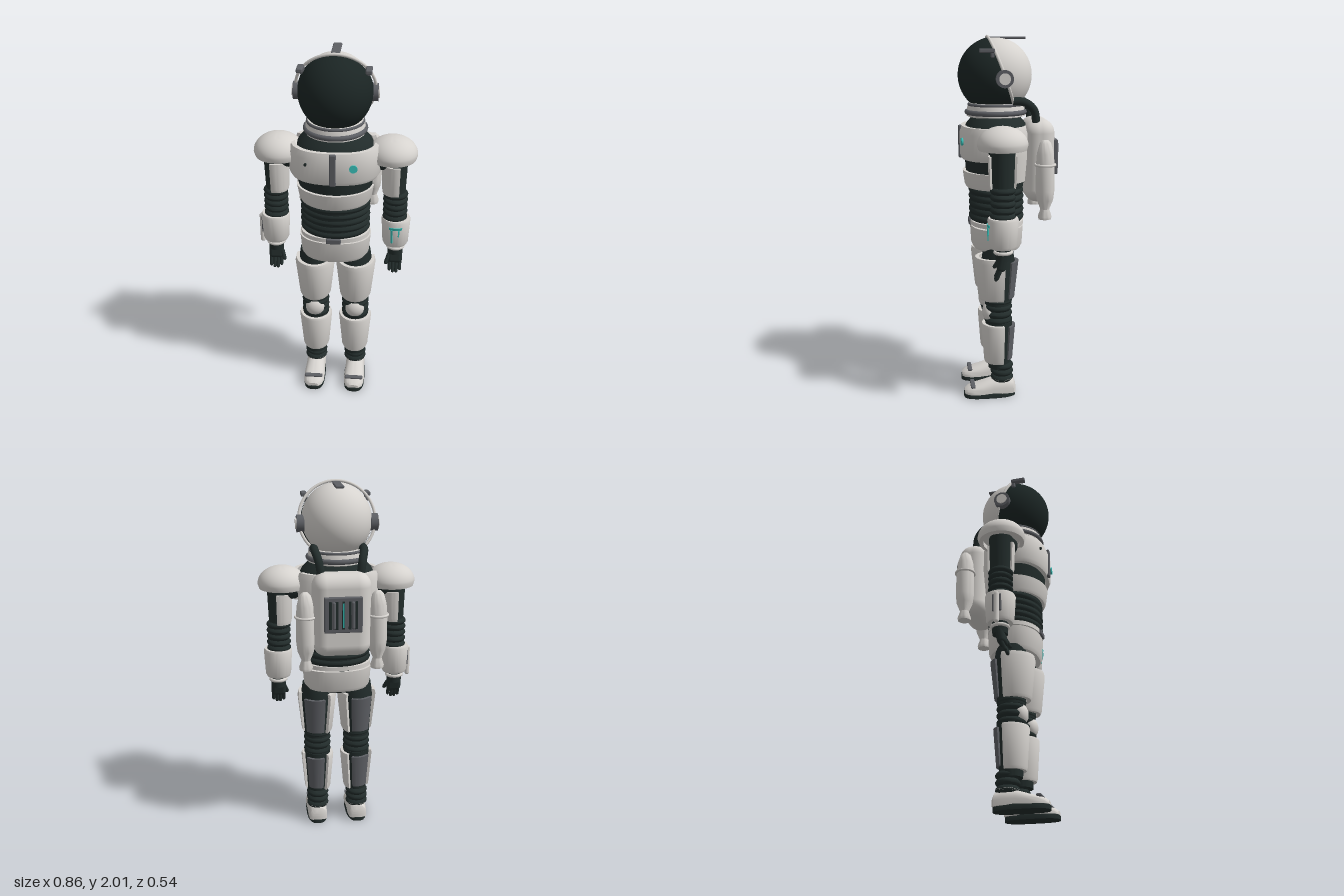
import * as THREE from 'three';
import { toCreasedNormals } from 'three/addons/utils/BufferGeometryUtils.js';
import { RoundedBoxGeometry } from 'three/addons/geometries/RoundedBoxGeometry.js';

const mat = (name, color) => new THREE.MeshStandardMaterial({ name, color });
const V = (x, y, z) => new THREE.Vector3(x, y, z);
const Z = 0.067; // depth of the body axis

// Joins closed loops of points into a solid; open sweeps get strip caps
function sweep(loops, closed = false) {
  const L = loops[0].length, N = loops.length, pos = [], idx = [];
  loops.forEach((l) => l.forEach((p) => pos.push(p.x, p.y, p.z)));
  for (let j = 0; j < (closed ? N : N - 1); j++) {
    for (let i = 0; i < L; i++) {
      const a = j * L + i, b = j * L + (i + 1) % L, k = ((j + 1) % N) * L;
      const c = k + (i + 1) % L, d = k + i;
      idx.push(a, b, c, a, c, d);
    }
  }
  if (!closed) for (let i = 0; i < L / 2 - 1; i++) {
    const m = L - 1 - i, e = (N - 1) * L;
    idx.push(i, m, m - 1, i, m - 1, i + 1);
    idx.push(e + i, e + m - 1, e + m, e + i, e + i + 1, e + m - 1);
  }
  // Make the faces point outwards
  const P = (i) => V(pos[i * 3], pos[i * 3 + 1], pos[i * 3 + 2]);
  let vol = 0;
  for (let i = 0; i < idx.length; i += 3) vol += P(idx[i]).dot(P(idx[i + 1]).cross(P(idx[i + 2])));
  if (vol < 0) idx.reverse();
  const g = new THREE.BufferGeometry();
  g.setAttribute('position', new THREE.Float32BufferAttribute(pos, 3));
  g.setIndex(idx);
  return toCreasedNormals(g, 0.7);
}

// Curved armour plate: profile rows are [y, rx, rz]; angles in degrees from the front towards +x
function shell(profile, a0, a1, t = 0.02, { x = 0, z = Z, n = 2, side = 1 } = {}) {
  const full = a1 - a0 >= 360, seg = Math.max(4, Math.ceil((a1 - a0) / 7)), loops = [];
  const pw = (v) => Math.sign(v) * Math.abs(v) ** (2 / n);
  for (let j = 0; j < (full ? seg : seg + 1); j++) {
    const a = THREE.MathUtils.degToRad(a0 + (a1 - a0) * j / seg);
    const at = (o) => ([y, rx, rz]) => V(side * (x + (rx - o) * pw(Math.sin(a))), y, z + (rz - o) * pw(Math.cos(a)));
    loops.push([...profile.map(at(0)), ...[...profile].reverse().map(at(t))]);
  }
  return sweep(loops, full);
}

const lathe = (pts, seg = 36) =>
  toCreasedNormals(new THREE.LatheGeometry(pts.map((p) => new THREE.Vector2(...p)), seg), 0.7);

// Ribbed bellows, closed at both ends
function bellows(y0, y1, r, ribs, bump = 0.012) {
  const pts = [[0, y0]];
  for (let i = 0; i <= ribs * 8; i++) {
    pts.push([r - bump + bump * Math.abs(Math.sin(i * Math.PI / 8)), y0 + (y1 - y0) * i / (ribs * 8)]);
  }
  return lathe([...pts, [0, y1]]);
}

export function createModel() {
  const root = new THREE.Group();
  root.name = 'spaceSuit';
  const white = mat('shellWhite', 0xd6d3cf), dark = mat('suitDark', 0x222c2b);
  const visor = mat('visorDark', 0x1b2524), grey = mat('trimGrey', 0x5d5f64), teal = mat('glowTeal', 0x38c2ba);
  const add = (name, geo, m, x = 0, y = 0, z = 0) => {
    const mesh = new THREE.Mesh(geo, m);
    mesh.name = name;
    mesh.position.set(x, y, z);
    root.add(mesh);
    return mesh;
  };
  const ring = (name, m, r, tube, x, y, z) =>
    add(name, new THREE.TorusGeometry(r, tube, 10, 40).rotateX(Math.PI / 2), m, x, y, z);
  const box = (w, h, d, r = 0.006) => new RoundedBoxGeometry(w, h, d, 2, r);

  // Helmet, tilted visor and its rim
  const tilt = 0.35;
  add('helmet', new THREE.SphereGeometry(0.197, 48, 32).scale(0.96, 1, 1), white, 0, 1.8, 0.07);
  add('visor', new THREE.SphereGeometry(0.2, 48, 32, 0, Math.PI * 2, 0, 1.72)
    .rotateX(Math.PI / 2 + tilt).scale(0.96, 1, 1), visor, 0, 1.8, 0.07);
  add('visorRim', new THREE.TorusGeometry(0.204, 0.008, 8, 64).rotateX(tilt), white, 0, 1.81, 0.042);
  add('crestBar', box(0.046, 0.014, 0.195), grey, 0, 1.993, 0.005);

  // Collar and neck
  add('collar', lathe([[0.13, 1.575], [0.158, 1.585], [0.155, 1.63], [0.145, 1.655], [0.12, 1.655]]), white, 0, 0, Z);
  ring('collarRing', grey, 0.155, 0.014, 0, 1.605, Z);
  ring('neckRing', grey, 0.144, 0.009, 0, 1.645, Z);

  // Dark suit under the torso plates
  add('torsoSuit', lathe([[0, 1.0], [0.172, 1.0], [0.175, 1.19], [0.195, 1.26], [0.205, 1.38], [0.212, 1.5],
    [0.19, 1.545], [0.15, 1.585], [0, 1.585]]).scale(1, 1, 0.84), dark, 0, 0, Z);
  add('waistBellows', bellows(1.015, 1.2, 0.19, 5).scale(1, 1, 0.8), dark, 0, 0, Z);
  add('hipSuit', lathe([[0, 0.81], [0.09, 0.83], [0.165, 0.9], [0.175, 1.01], [0, 1.01]]).scale(1, 1, 0.78), dark, 0, 0, Z);

  // Torso plates
  add('chestPlate', shell([[1.36, 0.23, 0.19], [1.38, 0.242, 0.198], [1.5, 0.245, 0.2], [1.535, 0.232, 0.188]],
    -84, 84, 0.022, { n: 2.4 }), white);
  add('backPlate', shell([[1.24, 0.21, 0.16], [1.38, 0.232, 0.172], [1.5, 0.235, 0.172], [1.535, 0.222, 0.16]],
    112, 248, 0.022, { n: 2.4 }), white);
  add('bellyPlate', shell([[1.2, 0.187, 0.165], [1.215, 0.195, 0.173], [1.29, 0.208, 0.183]], -85, 85, 0.02), white);
  add('chestStripe', box(0.034, 0.175, 0.02), grey, 0, 1.447, 0.262);
  add('chestLight', new THREE.CylinderGeometry(0.021, 0.021, 0.009, 24).rotateX(Math.PI / 2).rotateY(0.1), teal, 0.105, 1.458, 0.259);
  add('chestPort', new THREE.CylinderGeometry(0.008, 0.008, 0.009, 12).rotateX(Math.PI / 2).rotateY(-0.2), dark, -0.14, 1.47, 0.25);

  // Hip shell and belt
  add('hipShell', shell([[0.86, 0.175, 0.13], [0.88, 0.187, 0.14], [0.985, 0.196, 0.146]], 0, 360, 0.025, { n: 2.3 }), white);
  add('belt', shell([[0.992, 0.19, 0.148], [1.016, 0.19, 0.148]], 0, 360, 0.025, { n: 2.3 }), white);
  add('buckle', box(0.08, 0.03, 0.02), grey, 0, 1.002, 0.213);

  // Backpack with vent panel
  add('backpack', new RoundedBoxGeometry(0.31, 0.45, 0.165, 6, 0.072), white, 0, 1.345, -0.158);
  add('ventPanel', box(0.2, 0.19, 0.026), grey, 0, 1.365, -0.247);
  for (let i = -2; i <= 2; i++) {
    add('ventSlot', box(0.014, 0.15, 0.006, 0.002), dark, i * 0.034 + 0.001, 1.365, -0.26);
    if (i % 2) add('ventBar', new THREE.CapsuleGeometry(0.009, 0.13, 4, 10), grey, i * 0.05, 1.365, -0.262);
  }
  add('ventLight', box(0.008, 0.13, 0.008, 0.002), teal, 0, 1.365, -0.262);

  for (const s of [1, -1]) {
    // Helmet ear pods, lamps and air hoses
    const disc = (r, h) => new THREE.CylinderGeometry(r, r, h, 28).rotateZ(Math.PI / 2);
    add('earPod', disc(0.046, 0.04), grey, s * 0.197, 1.79, 0.042);
    add('earCap', disc(0.03, 0.012), white, s * 0.217, 1.79, 0.042);
    add('lamp', box(0.032, 0.022, 0.08), grey, s * 0.17, 1.932, 0.13);
    add('lampMount', box(0.024, 0.04, 0.02), grey, s * 0.163, 1.915, 0.1);
    add('airHose', new THREE.TubeGeometry(new THREE.CatmullRomCurve3([V(s * 0.13, 1.67, -0.01), V(s * 0.13, 1.665, -0.07),
      V(s * 0.115, 1.62, -0.125), V(s * 0.1, 1.52, -0.14)]), 24, 0.022, 12), dark);

    // Gas bottles
    add('gasBottle', lathe([[0, 1.05], [0.034, 1.045], [0.037, 1.06], [0.024, 1.1], [0.044, 1.15], [0.05, 1.2],
      [0.05, 1.33], [0.045, 1.4], [0.03, 1.455], [0.015, 1.47], [0, 1.472]], 28), white, s * 0.192, 0, -0.175);
    ring('bottleRing', white, 0.052, 0.007, s * 0.192, 1.34, -0.175);
    add('bottleBracket', box(0.07, 0.04, 0.04), grey, s * 0.15, 1.25, -0.175);

    // Shoulder pad
    const dome = [[0, 1.47], [0.1, 1.46], [0.1, 1.435], [0.124, 1.44]];
    for (let i = 0; i <= 12; i++) {
      const a = i / 12 * Math.PI / 2;
      dome.push([0.132 * Math.cos(a), 1.465 + 0.097 * Math.sin(a)]);
    }
    add('shoulderPad', lathe(dome), white, s * 0.3, 0, 0.065);

    // Arm
    add('shoulderJoint', new THREE.SphereGeometry(0.075, 24, 16), dark, s * 0.25, 1.45, Z);
    add('upperArm', lathe([[0, 1.22], [0.058, 1.22], [0.066, 1.45], [0, 1.5]]), dark, s * 0.317, 0, Z);
    add('upperArmPlate', shell([[1.24, 0.063, 0.067], [1.26, 0.067, 0.072], [1.41, 0.073, 0.076]],
      -195, 22, 0.015, { x: 0.317, side: s }), white);
    add('elbowBellows', bellows(1.08, 1.25, 0.067, 5), dark, s * 0.324, 0, Z);
    add('forearmShell', shell([[0.93, 0.064, 0.066], [0.945, 0.071, 0.074], [1.08, 0.079, 0.082], [1.092, 0.073, 0.077]],
      0, 360, 0.025, { x: 0.331, side: s }), white);
    add('wrist', new THREE.CylinderGeometry(0.045, 0.04, 0.12, 24), dark, s * 0.333, 0.925, Z);
    ring('wristRing', white, 0.042, 0.01, s * 0.333, 0.908, Z);

    // Glove
    const hand = new THREE.Group();
    hand.name = 'glove';
    hand.position.set(s * 0.333, 0.9, 0.065);
    hand.rotation.x = -0.2;
    root.add(hand);
    const part = (name, geo, x, y, z, rx = 0, rz = 0) => {
      const m = add(name, geo, dark, x, y, z);
      m.rotation.set(rx, 0, rz);
      hand.add(m);
    };
    part('palm', new RoundedBoxGeometry(0.082, 0.1, 0.046, 4, 0.02), 0, -0.045, 0);
    for (let i = 0; i < 4; i++) {
      const len = [0.05, 0.06, 0.06, 0.045][i];
      part('finger', new THREE.CapsuleGeometry(0.0095, len, 4, 10), (i - 1.5) * 0.019, -0.085 - len / 2, 0.006, -0.2);
    }
    part('thumb', new THREE.CapsuleGeometry(0.011, 0.045, 4, 10), -s * 0.042, -0.07, 0.018, -0.3, -s * 0.3);

    // Thigh, with front shell and rear plate
    const leg = { x: 0.115, side: s };
    add('thigh', lathe([[0, 0.55], [0.074, 0.55], [0.092, 0.8], [0.08, 0.88], [0, 0.9]]), dark, s * 0.115, 0, 0.07);
    add('thighShell', shell([[0.58, 0.082, 0.1], [0.595, 0.089, 0.107], [0.8, 0.111, 0.128], [0.825, 0.106, 0.123]],
      -140, 105, 0.02, { ...leg, z: 0.073 }), white);
    add('thighRearPlate', shell([[0.59, 0.082, 0.09], [0.8, 0.1, 0.113]], 128, 205, 0.018, { ...leg, z: 0.07 }), grey);

    // Knee
    add('kneeBellows', bellows(0.44, 0.59, 0.078, 4), dark, s * 0.115, 0, 0.07);
    add('kneeCap', new THREE.SphereGeometry(0.054, 28, 20).scale(1, 1, 0.7), white, s * 0.115, 0.503, 0.122);

    // Shin, with front shell and rear plate
    add('shin', lathe([[0, 0.17], [0.06, 0.17], [0.076, 0.45], [0, 0.46]]), dark, s * 0.115, 0, 0.067);
    add('shinShell', shell([[0.205, 0.07, 0.079], [0.22, 0.076, 0.084], [0.425, 0.094, 0.098], [0.438, 0.09, 0.094]],
      -140, 105, 0.018, { ...leg, z: Z }), white);
    add('shinRearPlate', shell([[0.225, 0.069, 0.076], [0.425, 0.086, 0.092]], 128, 205, 0.016, leg), grey);

    // Ankle and boot
    add('ankleBellows', bellows(0.09, 0.2, 0.064, 3), dark, s * 0.117, 0, 0.05);
    ring('bootCuff', white, 0.053, 0.011, s * 0.117, 0.108, 0.05);
    const bootRows = [[-0.024, 0.036, 0.05], [-0.012, 0.051, 0.075], [0.03, 0.056, 0.085], [0.1, 0.057, 0.082],
      [0.16, 0.06, 0.062], [0.21, 0.059, 0.047], [0.245, 0.05, 0.034], [0.263, 0.03, 0.02]];
    add('boot', sweep(bootRows.map(([z, w, h]) => Array.from({ length: 18 }, (_, i) => {
      const a = i / 17 * Math.PI;
      return V(w * Math.cos(a), 0.024 + h * Math.abs(Math.sin(a)) ** 0.6, z);
    }))), white, s * 0.119);
    add('sole', sweep([0, 0.022, 0.028].map((y, k) => Array.from({ length: 32 }, (_, i) => {
      const a = (i + 0.5) / 32 * Math.PI * 2, c = Math.cos(a), q = Math.sin(a), r = k === 2 ? 0.95 : 1;
      return V(r * (0.061 + 0.004 * q) * Math.sign(c) * Math.abs(c) ** 0.7, y,
        0.121 + r * 0.147 * Math.sign(q) * Math.abs(q) ** 0.7);
    }))), dark, s * 0.119);
    add('bootStrap', box(0.105, 0.014, 0.026), grey, s * 0.119, 0.068, 0.218);
  }

  // Left forearm display and right forearm canister
  const strip = (y0, y1, a0, a1) => add('wristDisplay',
    shell([[y0, 0.079, 0.082], [y1, 0.082, 0.085]], a0, a1, 0.008, { x: 0.331 }), teal);
  strip(1.045, 1.06, -26, 26);
  strip(0.965, 1.045, -19, -12);
  strip(1.005, 1.045, 10, 15);
  add('canister', new THREE.CapsuleGeometry(0.014, 0.15, 4, 14), white, -0.408, 0.99, Z);
  add('canisterClip', box(0.012, 0.1, 0.05), grey, -0.402, 1.02, Z);
  return root;
}
